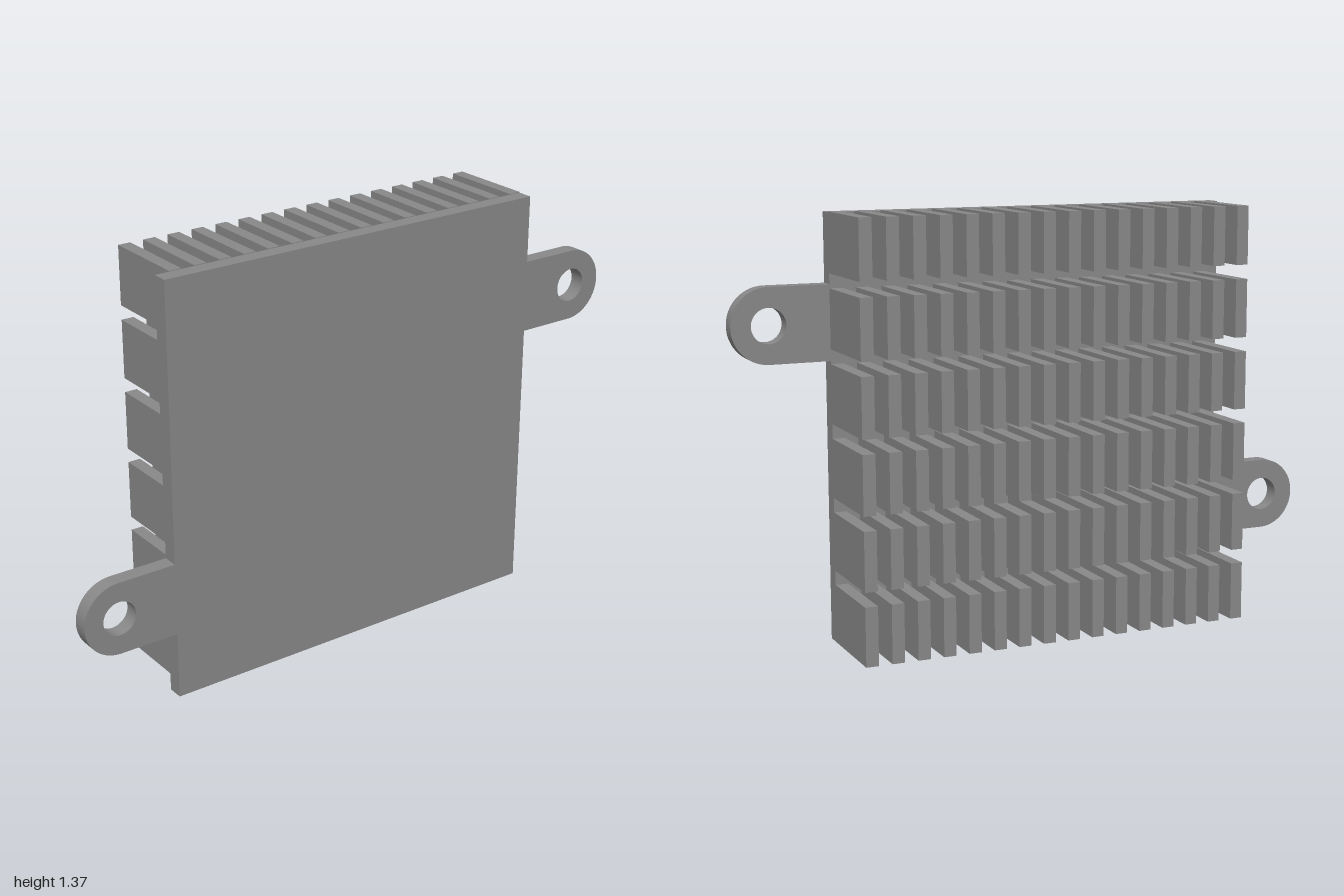
import * as THREE from 'three';

const HALF_W = 0.684, PLATE_H = 1.37;
const BACK = -0.17, PLATE_BACK = 0.118, FRONT = 0.17;
const TAB_R = 0.12, HOLE_R = 0.056, TAB_X = 1 - TAB_R;
const LEFT_TAB_Y = 1.029, RIGHT_TAB_Y = 0.344;

export function createModel() {
  const group = new THREE.Group();
  group.name = 'heatSink';
  const material = new THREE.MeshStandardMaterial({ color: 0x888888 });

  // Base plate outline, counter-clockwise, with a rounded mounting tab on each side
  const outline = new THREE.Shape();
  outline.moveTo(-HALF_W, 0);
  outline.lineTo(HALF_W, 0);
  outline.lineTo(HALF_W, LEFT_TAB_Y - TAB_R);
  outline.lineTo(TAB_X, LEFT_TAB_Y - TAB_R);
  outline.absarc(TAB_X, LEFT_TAB_Y, TAB_R, -Math.PI / 2, Math.PI / 2, false);
  outline.lineTo(HALF_W, LEFT_TAB_Y + TAB_R);
  outline.lineTo(HALF_W, PLATE_H);
  outline.lineTo(-HALF_W, PLATE_H);
  outline.lineTo(-HALF_W, RIGHT_TAB_Y + TAB_R);
  outline.lineTo(-TAB_X, RIGHT_TAB_Y + TAB_R);
  outline.absarc(-TAB_X, RIGHT_TAB_Y, TAB_R, Math.PI / 2, Math.PI * 1.5, false);
  outline.lineTo(-HALF_W, RIGHT_TAB_Y - TAB_R);
  outline.closePath();

  // Screw holes
  for (const [x, y] of [[TAB_X, LEFT_TAB_Y], [-TAB_X, RIGHT_TAB_Y]]) {
    const hole = new THREE.Path();
    hole.absarc(x, y, HOLE_R, 0, Math.PI * 2, true);
    outline.holes.push(hole);
  }

  const plateGeometry = new THREE.ExtrudeGeometry(outline, {
    depth: FRONT - PLATE_BACK, bevelEnabled: false, curveSegments: 32,
  });
  const plate = new THREE.Mesh(plateGeometry, material);
  plate.name = 'basePlate';
  plate.position.z = PLATE_BACK;
  group.add(plate);

  // Cooling fins: 16 columns cut into 6 rows
  const columns = 16, rows = 6, finW = 0.041, finH = 0.19;
  const pitchX = 0.0853, pitchY = 0.2365;
  const finGeometry = new THREE.BoxGeometry(finW, finH, PLATE_BACK - BACK);
  const fins = new THREE.Group();
  fins.name = 'coolingFins';
  for (let c = 0; c < columns; c++) {
    for (let r = 0; r < rows; r++) {
      const fin = new THREE.Mesh(finGeometry, material);
      fin.name = `fin_${c + 1}_${r + 1}`;
      fin.position.set(
        HALF_W - finW / 2 - c * pitchX,
        finH / 2 + r * pitchY,
        (BACK + PLATE_BACK) / 2,
      );
      fins.add(fin);
    }
  }
  group.add(fins);

  return group;
}
